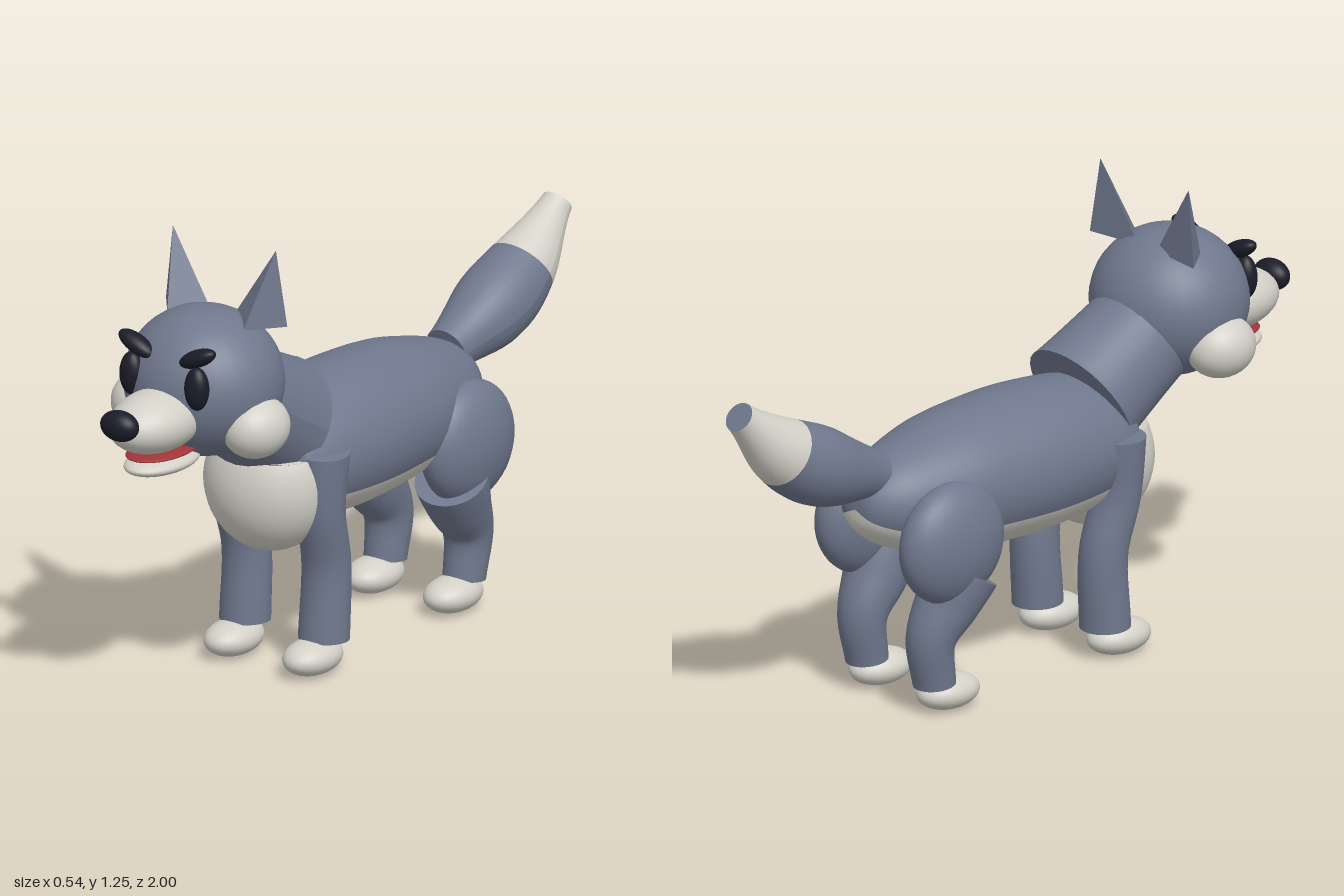
import * as THREE from 'three';
import { ConvexGeometry } from 'three/addons/geometries/ConvexGeometry.js';

const V = (x, y, z) => new THREE.Vector3(x, y, z);

function material(name, color) {
  const m = new THREE.MeshStandardMaterial({ color });
  m.name = name;
  return m;
}

// Round limb swept along a smooth path with a radius at each point; group 0 is the side, group 1 the end caps.
function limbGeometry(points, radii, t0 = 0, t1 = 1, rows = 16, sides = 28) {
  const path = new THREE.CatmullRomCurve3(points);
  const sizes = new THREE.SplineCurve(radii.map((r, i) => new THREE.Vector2(i, r)));
  const pos = [], side = [], caps = [];
  const ring = (t) => {
    const c = path.getPoint(t), r = sizes.getPoint(t).y, T = path.getTangent(t);
    const N = V(1, 0, 0).addScaledVector(T, -T.x).normalize();
    const B = T.clone().cross(N);
    for (let j = 0; j <= sides; j++) {
      const a = (j / sides) * Math.PI * 2;
      const p = c.clone().addScaledVector(N, r * Math.cos(a)).addScaledVector(B, r * Math.sin(a));
      pos.push(p.x, p.y, p.z);
    }
    return c;
  };
  const w = sides + 1;
  for (let i = 0; i <= rows; i++) ring(t0 + (t1 - t0) * i / rows);
  for (let i = 0; i < rows; i++) for (let j = 0; j < sides; j++) {
    const a = i * w + j, d = a + w;
    side.push(a, a + 1, d + 1, a, d + 1, d);
  }
  for (const end of [0, 1]) {
    const first = pos.length / 3;
    const c = ring(end ? t1 : t0);
    const centre = pos.length / 3;
    pos.push(c.x, c.y, c.z);
    for (let j = 0; j < sides; j++) {
      if (end) caps.push(centre, first + j, first + j + 1);
      else caps.push(centre, first + j + 1, first + j);
    }
  }
  const g = new THREE.BufferGeometry();
  g.setAttribute('position', new THREE.Float32BufferAttribute(pos, 3));
  g.setIndex([...side, ...caps]);
  g.addGroup(0, side.length, 0);
  g.addGroup(side.length, caps.length, 1);
  g.computeVertexNormals();
  return g;
}

export function createModel() {
  const model = new THREE.Group();
  model.name = 'wolf';
  const fur = material('greyFur', 0x6f788d);
  const cream = material('paleFur', 0xd2d0c7);
  const dark = material('nearBlack', 0x1b1c28);
  const red = material('mouthRed', 0xa03438);

  const add = (name, geometry, mat) => {
    const mesh = new THREE.Mesh(geometry, mat);
    mesh.name = name;
    model.add(mesh);
    return mesh;
  };
  const ball = (name, mat, centre, radii, tilt = 0) => {
    const mesh = add(name, new THREE.SphereGeometry(1, 32, 22), mat);
    mesh.position.set(...centre);
    mesh.scale.set(...radii);
    mesh.rotation.z = tilt;
    return mesh;
  };
  const limb = (name, mat, points, radii, t0, t1) =>
    add(name, limbGeometry(points, radii, t0, t1), [mat, fur]);

  // Body, turned around the z axis, with a pale strip underneath
  const profile = new THREE.SplineCurve([
    [0.001, -0.55], [0.055, -0.54], [0.105, -0.49], [0.142, -0.41], [0.183, -0.25],
    [0.197, -0.1], [0.2, 0.05], [0.188, 0.2], [0.165, 0.3], [0.13, 0.35], [0.001, 0.36],
  ].map(([r, z]) => new THREE.Vector2(r, z))).getPoints(50);
  const half = THREE.MathUtils.degToRad(63);
  const shell = (name, mat, start, length) => {
    const g = new THREE.LatheGeometry(profile, 24, start, length);
    g.rotateX(Math.PI / 2);
    const mesh = add(name, g, mat);
    mesh.scale.x = 1.075;
    mesh.position.y = 0.58;
  };
  shell('body', fur, half, Math.PI * 2 - half * 2);
  shell('belly', cream, -half, half * 2);

  // Chest, cut off level under the neck
  const cut = Math.acos(0.45);
  const chest = add('chest', new THREE.SphereGeometry(1, 32, 20, 0, Math.PI * 2, cut, Math.PI - cut), cream);
  chest.position.set(0, 0.53, 0.3);
  chest.scale.set(0.182, 0.195, 0.165);
  const chestTop = add('chestTop', new THREE.CircleGeometry(0.893, 32).rotateX(-Math.PI / 2), cream);
  chestTop.position.set(0, 0.618, 0.3);
  chestTop.scale.set(0.182, 1, 0.165);

  // Neck and head
  limb('neck', fur, [V(0, 0.689, 0.268), V(0, 0.84, 0.527)], [0.172, 0.15]);
  ball('head', fur, [0, 0.89, 0.59], [0.218, 0.203, 0.21]);
  ball('muzzle', cream, [0, 0.835, 0.8], [0.107, 0.083, 0.16]);
  ball('nose', dark, [0, 0.864, 0.962], [0.058, 0.042, 0.038]);
  ball('mouth', red, [0, 0.747, 0.775], [0.077, 0.012, 0.125]);
  ball('lowerJaw', cream, [0, 0.717, 0.775], [0.08, 0.029, 0.132]);

  // Tail with pale tip
  const tailPath = [V(0, 0.665, -0.48), V(0, 0.73, -0.67), V(0, 0.807, -0.81), V(0, 0.945, -0.97)];
  const tailSize = [0.065, 0.107, 0.095, 0.042];
  limb('tail', fur, tailPath, tailSize, 0, 2 / 3);
  limb('tailTip', cream, tailPath, tailSize, 2 / 3, 1);

  // Paired parts
  for (const [s, side] of [[1, 'left'], [-1, 'right']]) {
    ball(side + 'Cheek', cream, [s * 0.182, 0.8, 0.605], [0.087, 0.085, 0.1]);
    ball(side + 'Eye', dark, [s * 0.107, 0.934, 0.765], [0.035, 0.06, 0.03]);
    ball(side + 'Brow', dark, [s * 0.1, 1.014, 0.752], [0.061, 0.024, 0.03], s * 0.42);
    add(side + 'Ear', new ConvexGeometry([
      V(s * 0.2, 1.05, 0.49), V(s * 0.035, 1.05, 0.51), V(s * 0.125, 1.05, 0.585), V(s * 0.17, 1.26, 0.5),
    ]), fur);

    limb(side + 'FrontLeg', fur,
      [V(s * 0.148, 0.625, 0.267), V(s * 0.142, 0.46, 0.265), V(s * 0.132, 0.3, 0.227), V(s * 0.13, 0.092, 0.235)],
      [0.074, 0.066, 0.066, 0.069]);
    ball(side + 'FrontPaw', cream, [s * 0.13, 0.054, 0.284], [0.069, 0.048, 0.099]);

    ball(side + 'Haunch', fur, [s * 0.163, 0.482, -0.353], [0.089, 0.168, 0.172]);
    limb(side + 'HindLeg', fur,
      [V(s * 0.15, 0.39, -0.3), V(s * 0.14, 0.31, -0.345), V(s * 0.132, 0.215, -0.398), V(s * 0.13, 0.085, -0.384)],
      [0.1, 0.088, 0.068, 0.058]);
    ball(side + 'HindPaw', cream, [s * 0.13, 0.054, -0.335], [0.069, 0.048, 0.097]);
  }
  return model;
}
